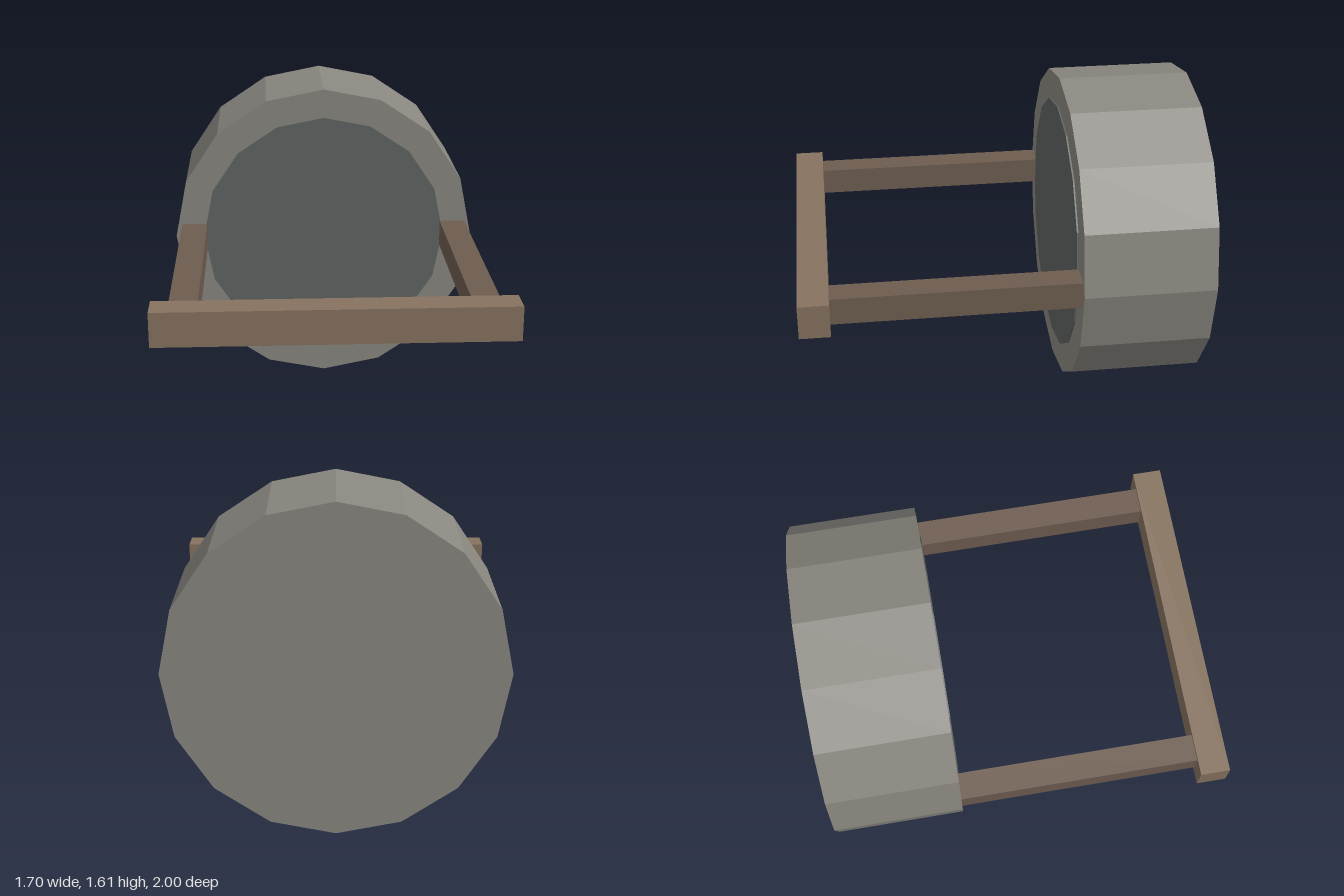
import * as THREE from 'three';

const CENTRE_Y = 0.804;

export function createModel() {
  const group = new THREE.Group();
  const material = (color) => new THREE.MeshStandardMaterial({ color, flatShading: true });
  const stone = material(0x8a8780);
  const darkStone = material(0x5f6462);
  const armWood = material(0x6e5d50);
  const gripWood = material(0x86725f);

  const add = (name, geometry, mat, x, z) => {
    const mesh = new THREE.Mesh(geometry, mat);
    mesh.name = name;
    mesh.position.set(x, CENTRE_Y, z);
    group.add(mesh);
  };

  // Sixteen-sided drum lying along z, placed by its back and front planes
  const drum = (name, radius, back, front, mat) => {
    const geometry = new THREE.CylinderGeometry(radius, radius, front - back, 16).rotateX(Math.PI / 2);
    add(name, geometry, mat, 0, (back + front) / 2);
  };
  drum('roller', 0.804, -1, -0.35, stone);
  drum('rollerFace', 0.652, -0.99, -0.342, darkStone);

  // Two arms running from the roller to the crossbar
  for (const [name, side] of [['leftArm', 1], ['rightArm', -1]]) {
    add(name, new THREE.BoxGeometry(0.135, 0.135, 1.21), armWood, side * 0.703, 0.25);
  }

  // Crossbar handle
  add('handle', new THREE.BoxGeometry(1.704, 0.17, 0.148), gripWood, 0, 0.926);

  return group;
}
